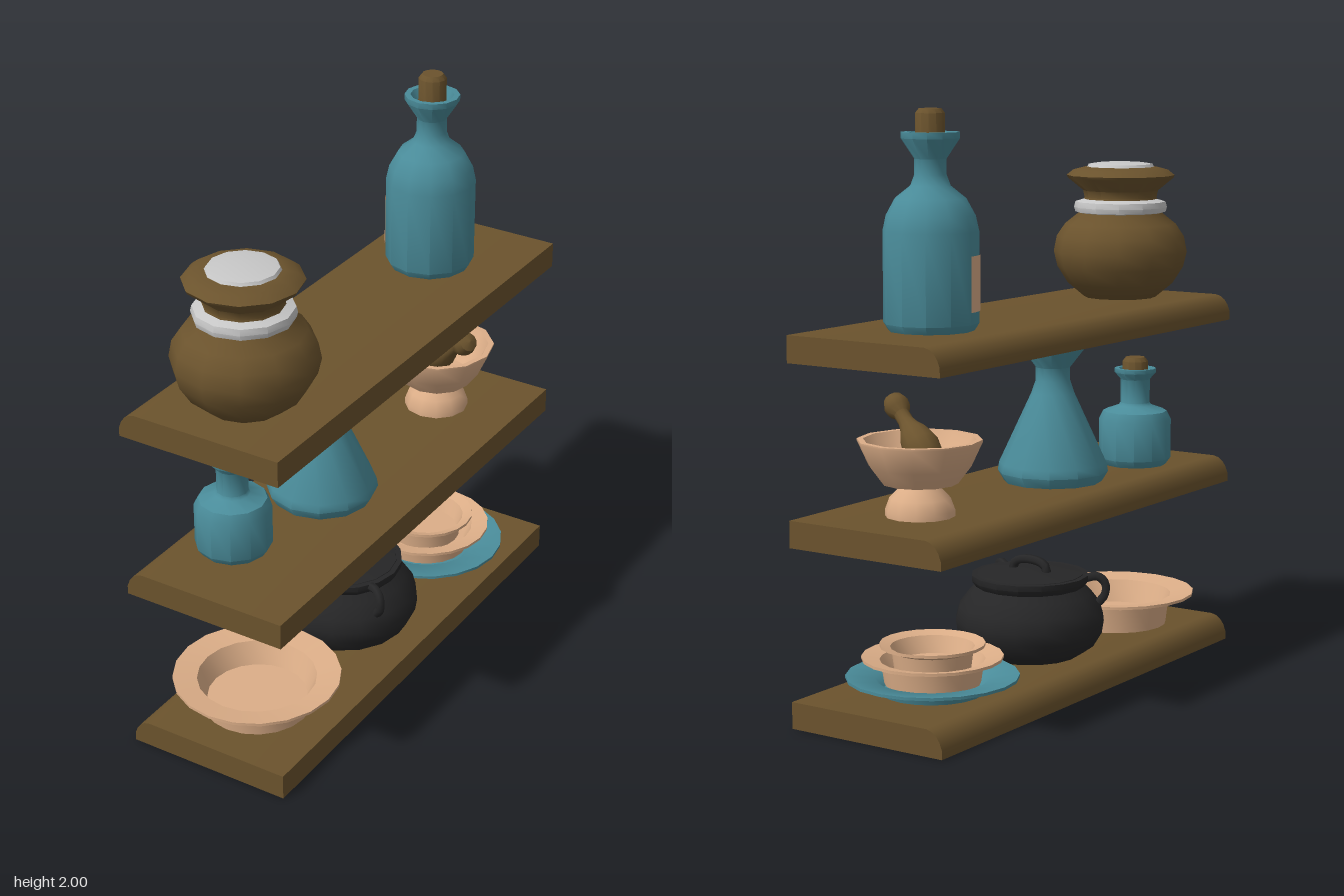
import * as THREE from 'three';
import { toCreasedNormals } from 'three/addons/utils/BufferGeometryUtils.js';

const mat = (name, color) => {
  const m = new THREE.MeshStandardMaterial({ color });
  m.name = name;
  return m;
};

export function createModel() {
  const root = new THREE.Group();
  root.name = 'stockedShelves';
  const wood = mat('brown wood', 0x6b532d);
  const teal = mat('teal glass', 0x4a8c9a);
  const clay = mat('pale clay', 0xdcae88);
  const cloth = mat('light grey cloth', 0xc8c8c8);
  const iron = mat('black iron', 0x262627);

  const group = (name, x, y, z) => {
    const g = new THREE.Group();
    g.name = name;
    g.position.set(x, y, z);
    root.add(g);
    return g;
  };
  const add = (parent, name, geometry, material) => {
    const m = new THREE.Mesh(geometry, material);
    m.name = name;
    parent.add(m);
    return m;
  };
  // Turned part from [radius, height] pairs, listed from the base up
  const turned = (parent, name, profile, material, sides = 12) => {
    const pts = profile.map(([r, y]) => new THREE.Vector2(r, y));
    const geo = toCreasedNormals(new THREE.LatheGeometry(pts, sides), 0.72);
    return add(parent, name, geo, material);
  };
  const cork = (parent, r, y0, y1) => turned(parent, 'cork',
    [[0, y0], [r, y0], [r, y1 - 0.015], [r * 0.75, y1], [0, y1]], wood);

  // Three boards with a rounded upper edge on one long side
  const board = new THREE.Shape();
  board.moveTo(-0.3, 0);
  board.lineTo(0.3, 0);
  board.lineTo(0.3, 0.09);
  board.lineTo(-0.24, 0.09);
  board.quadraticCurveTo(-0.285, 0.085, -0.3, 0.03);
  board.closePath();
  const boardGeo = toCreasedNormals(new THREE.ExtrudeGeometry(board,
    { depth: 1.8, bevelEnabled: false, curveSegments: 4 }), 0.7);
  boardGeo.translate(0, 0, -0.9);
  for (const y of [0, 0.6, 1.2]) add(root, 'shelfBoard', boardGeo, wood).position.y = y;

  // Wide jar with a cloth band and a covered mouth
  const jar = group('jar', 0.013, 1.29, 0.643);
  turned(jar, 'jarBody', [[0, 0], [0.13, 0], [0.19, 0.05], [0.228, 0.11], [0.241, 0.165],
    [0.23, 0.22], [0.2, 0.265], [0.15, 0.305], [0.13, 0.36], [0.135, 0.385],
    [0.19, 0.43], [0.195, 0.44], [0.17, 0.46], [0.13, 0.47], [0, 0.47]], wood);
  turned(jar, 'jarBand', [[0.14, 0.303], [0.163, 0.308], [0.168, 0.325], [0.163, 0.345],
    [0.13, 0.355]], cloth);
  turned(jar, 'jarCover', [[0.122, 0.468], [0.115, 0.48], [0.08, 0.485], [0, 0.487]], cloth);

  // Tall bottle with a label
  const bottle = group('tallBottle', -0.003, 1.29, -0.537);
  turned(bottle, 'bottleGlass', [[0, 0], [0.14, 0], [0.156, 0.025], [0.156, 0.32], [0.145, 0.37],
    [0.115, 0.425], [0.065, 0.465], [0.052, 0.5], [0.052, 0.55], [0.095, 0.615], [0.095, 0.635],
    [0.075, 0.635], [0.042, 0.56], [0, 0.55]], teal);
  cork(bottle, 0.048, 0.55, 0.71);
  const label = new THREE.CylinderGeometry(0.159, 0.159, 0.18, 4, 1, true, -Math.PI / 2, 0.63);
  label.translate(0, 0.155, 0);
  const labelMat = clay.clone();
  labelMat.name = 'label clay';
  labelMat.side = THREE.DoubleSide;
  add(bottle, 'label', label, labelMat);

  // Small round bottle
  const small = group('smallBottle', -0.082, 0.69, 0.598);
  turned(small, 'smallBottleGlass', [[0, 0], [0.112, 0], [0.13, 0.025], [0.13, 0.165],
    [0.115, 0.195], [0.06, 0.215], [0.053, 0.225], [0.053, 0.31], [0.075, 0.335],
    [0.075, 0.35], [0.06, 0.35], [0.042, 0.31], [0, 0.3]], teal);
  cork(small, 0.046, 0.3, 0.39);

  // Conical flask
  const flask = group('flask', -0.016, 0.69, 0.157);
  turned(flask, 'flaskGlass', [[0, 0], [0.172, 0], [0.193, 0.035], [0.188, 0.065],
    [0.075, 0.31], [0.06, 0.355], [0.06, 0.4], [0.11, 0.465], [0.11, 0.48],
    [0.09, 0.48], [0.045, 0.41], [0, 0.4]], teal);
  cork(flask, 0.048, 0.4, 0.53);

  // Mortar and leaning pestle
  const mortar = group('mortar', 0.003, 0.69, -0.596);
  turned(mortar, 'mortarBowl', [[0, 0], [0.115, 0], [0.115, 0.02], [0.1, 0.06], [0.06, 0.1],
    [0.125, 0.108], [0.168, 0.165], [0.205, 0.245], [0.205, 0.252], [0.185, 0.252],
    [0.15, 0.18], [0.11, 0.135], [0, 0.125]], clay);
  const pestle = turned(mortar, 'pestle', [[0, 0], [0.035, 0.005], [0.055, 0.03], [0.062, 0.08],
    [0.052, 0.13], [0.034, 0.17], [0.026, 0.2], [0.026, 0.235], [0.04, 0.255],
    [0.043, 0.28], [0.034, 0.305], [0, 0.32]], wood);
  const low = new THREE.Vector3(-0.045, 0.175, 0.0);
  const high = new THREE.Vector3(0.172, 0.342, 0.096);
  pestle.position.copy(low);
  pestle.quaternion.setFromUnitVectors(new THREE.Vector3(0, 1, 0), high.clone().sub(low).normalize());

  // Dishes: foot radius, rim radius and height give each section
  const dish = (parent, name, foot, rim, y, h, material) => turned(parent, name,
    [[0, y], [foot * 0.94, y], [foot, y + h - 0.025], [rim, y + h - 0.01], [rim, y + h],
      [foot + 0.005, y + h - 0.012], [foot * 0.86, y + h * 0.25], [0, y + h * 0.25]], material, 20);
  dish(group('servingDish', 0, 0.09, 0.6), 'deepDish', 0.2, 0.288, 0, 0.12, clay);
  const stack = group('dishStack', 0, 0.09, -0.537);
  dish(stack, 'plate', 0.185, 0.288, 0, 0.057, teal);
  dish(stack, 'wideBowl', 0.17, 0.235, 0.03, 0.092, clay);
  dish(stack, 'smallBowl', 0.135, 0.175, 0.075, 0.09, clay);

  // Cooking pot with lid, lid handle and two ears
  const pot = group('cookingPot', 0.005, 0.09, 0.045);
  turned(pot, 'potBody', [[0, 0], [0.17, 0], [0.225, 0.035], [0.255, 0.085], [0.262, 0.13],
    [0.25, 0.175], [0.215, 0.22], [0.19, 0.245], [0.205, 0.265], [0.205, 0.285],
    [0.18, 0.285]], iron, 16);
  turned(pot, 'potLid', [[0.19, 0.275], [0.185, 0.287], [0.1, 0.297], [0, 0.302]], iron, 16);
  const tube = (parent, name, pts, r) => add(parent, name, new THREE.TubeGeometry(
    new THREE.CatmullRomCurve3(pts.map(p => new THREE.Vector3(...p))), 12, r, 6), iron);
  tube(pot, 'lidHandle', [[-0.07, 0.285, 0], [-0.065, 0.315, 0], [-0.035, 0.332, 0],
    [0.035, 0.332, 0], [0.065, 0.315, 0], [0.07, 0.285, 0]], 0.016);
  for (const side of [-1, 1]) {
    const ear = tube(pot, 'potEar', [[0.19, 0.27, 0], [0.235, 0.278, 0], [0.262, 0.255, 0],
      [0.262, 0.215, 0], [0.24, 0.185, 0]], 0.016);
    ear.rotation.y = side > 0 ? -Math.PI / 6 : Math.PI + Math.PI / 6;
  }
  return root;
}
